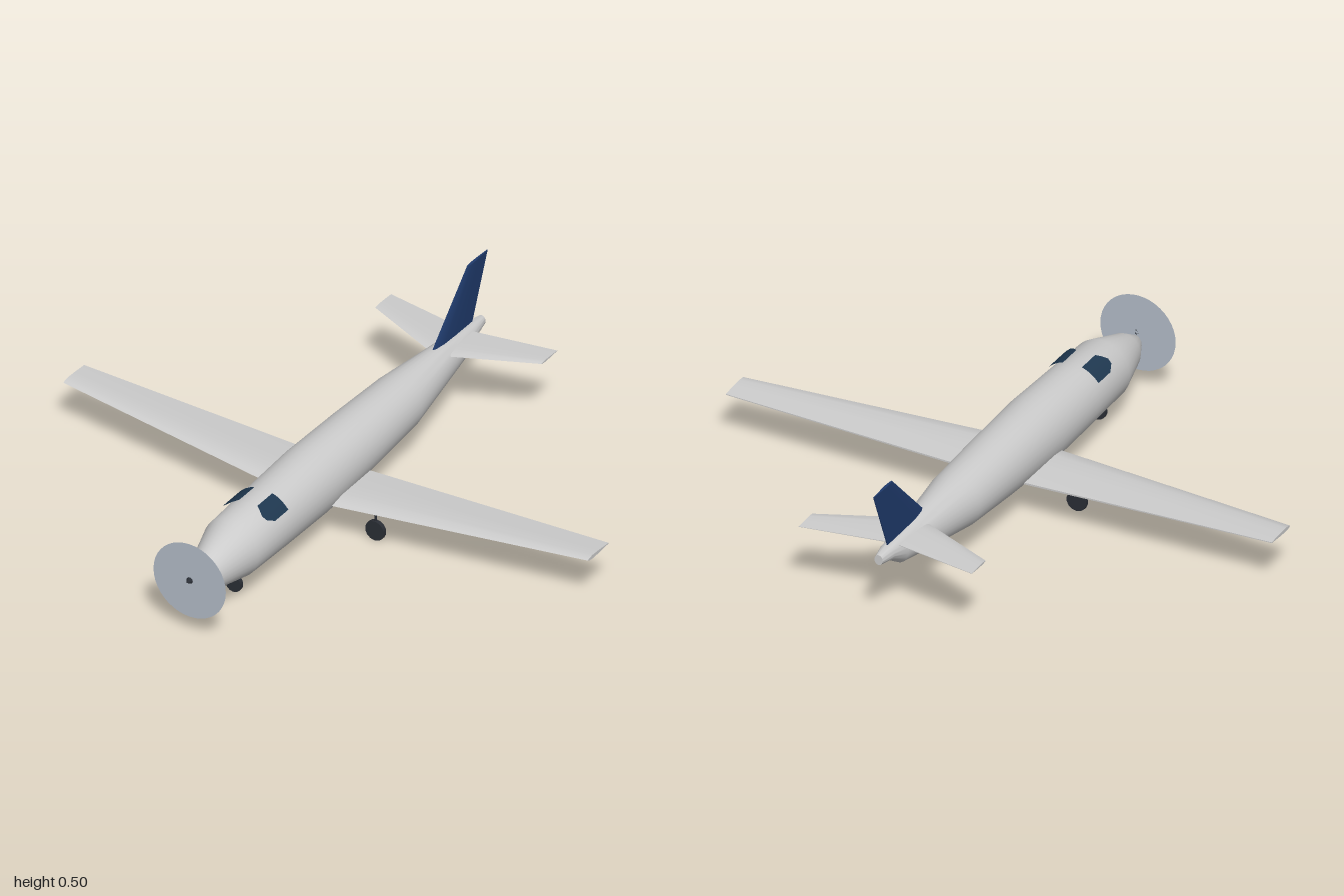
import * as THREE from 'three';
import { toCreasedNormals } from 'three/addons/utils/BufferGeometryUtils.js';

const material = (color, side = THREE.FrontSide) => new THREE.MeshStandardMaterial({ color, side });
const GREY = material(0xcccccc);
const NAVY = material(0x1f3a6b);
const GLASS = material(0x1f3850, THREE.DoubleSide);
const DARK = material(0x2a2e35);
const DISC = material(0xb3bcc8, THREE.DoubleSide);

// Skin a list of equal-sized rings of [x, y, z] points and cap both ends.
function loft(rings, crease) {
  const n = rings[0].length;
  const pos = rings.flat(2);
  const index = [];
  for (let r = 0; r < rings.length - 1; r++) {
    for (let i = 0; i < n; i++) {
      const a = r * n + i, b = r * n + (i + 1) % n;
      index.push(a, b, a + n, b, b + n, a + n);
    }
  }
  const last = (rings.length - 1) * n;
  for (let i = 1; i < n - 1; i++) {
    index.push(0, i + 1, i, last, last + i, last + i + 1);
  }
  // Turn the faces outward if the enclosed volume comes out negative.
  const p = (i) => new THREE.Vector3().fromArray(pos, i * 3);
  let volume = 0;
  for (let i = 0; i < index.length; i += 3) {
    volume += p(index[i]).dot(p(index[i + 1]).cross(p(index[i + 2])));
  }
  if (volume < 0) index.reverse();
  const geo = new THREE.BufferGeometry();
  geo.setAttribute('position', new THREE.Float32BufferAttribute(pos, 3));
  geo.setIndex(index);
  return toCreasedNormals(geo, crease);
}

// Aerofoil outline: [fraction of chord from the leading edge, fraction of thickness]
const FOIL = [[0, 0], [0.06, 0.3], [0.25, 0.5], [0.55, 0.4], [1, 0.1],
  [1, -0.1], [0.55, -0.4], [0.25, -0.5], [0.06, -0.3]];
const foilRing = (lead, trail, thick, place) =>
  FOIL.map(([c, t]) => place(t * thick, lead + (trail - lead) * c));

// Full-span surface from tip to tip; stations are { x, y, lead, trail, thick }.
function span(root, tip) {
  return loft([{ ...tip, x: -tip.x }, root, tip].map((s) =>
    foilRing(s.lead, s.trail, s.thick, (t, z) => [s.x, s.y + t, z])), 0.6);
}

// Fuselage stations: z, centre y, half width, half height
const HULL = [
  [0.885, 0.165, 0.014, 0.018], [0.87, 0.167, 0.024, 0.032], [0.8, 0.175, 0.058, 0.065],
  [0.64, 0.19, 0.104, 0.107], [0.42, 0.193, 0.109, 0.116], [0.18, 0.197, 0.113, 0.123],
  [-0.1, 0.203, 0.106, 0.112], [-0.36, 0.209, 0.095, 0.097], [-0.62, 0.222, 0.056, 0.068],
  [-0.74, 0.229, 0.039, 0.053], [-0.81, 0.249, 0.028, 0.028], [-0.87, 0.25, 0.015, 0.018],
];
function fuselage() {
  const n = 32;
  return loft(HULL.map(([z, y, rx, ry]) => Array.from({ length: n }, (_, i) => {
    const a = (i / n) * Math.PI * 2;
    return [rx * Math.sin(a), y + ry * Math.cos(a), z];
  })), 0.75);
}

// Curved cockpit pane lying just outside the fuselage skin
function pane(side) {
  const geo = new THREE.PlaneGeometry(1, 1, 4, 3);
  const front = [0.535, 0.548, 0.56, 0.555, 0.525];
  const p = geo.attributes.position;
  for (let i = 0; i < p.count; i++) {
    const u = p.getX(i) + 0.5, v = p.getY(i) + 0.5;
    const a = 0.29 + u * 0.63;
    const z = 0.445 + v * (front[Math.round(u * 4)] - 0.445);
    p.setXYZ(i, side * 0.12 * Math.sin(a), 0.19 + 0.12 * Math.cos(a), z);
  }
  geo.computeVertexNormals();
  return geo;
}

export function createModel() {
  const model = new THREE.Group();
  model.name = 'aeroplane';
  const add = (name, geo, mat, parent = model) => {
    const mesh = new THREE.Mesh(geo, mat);
    mesh.name = name;
    parent.add(mesh);
    return mesh;
  };

  add('fuselage', fuselage(), GREY);

  // Flying surfaces
  add('wings', span(
    { x: 0, y: 0.139, lead: 0.205, trail: -0.052, thick: 0.034 },
    { x: 1, y: 0.174, lead: 0.07, trail: -0.055, thick: 0.014 }), GREY);
  add('tailplane', span(
    { x: 0, y: 0.264, lead: -0.59, trail: -0.772, thick: 0.012 },
    { x: 0.317, y: 0.264, lead: -0.73, trail: -0.825, thick: 0.007 }), GREY);
  const finRing = (y, lead, trail, thick) => foilRing(lead, trail, thick, (t, z) => [t, y, z]);
  add('fin', loft([
    finRing(0.25, -0.53, -0.8, 0.02),
    finRing(0.5, -0.78, -0.905, 0.01)], 0.6), NAVY);

  // Cockpit windows
  add('leftWindow', pane(1), GLASS);
  add('rightWindow', pane(-1), GLASS);

  // Spinning propeller disc and its hub
  add('propellerDisc', new THREE.CircleGeometry(0.138, 40), DISC).position.set(0, 0.198, 0.889);
  const hub = add('propellerHub', new THREE.ConeGeometry(0.012, 0.018, 12).rotateX(Math.PI / 2), DARK);
  hub.position.set(0, 0.198, 0.898);

  // Landing gear: thin wheel discs under slim struts
  const gear = (name, x, z, y, r, top) => {
    const group = new THREE.Group();
    group.name = name;
    group.position.set(x, 0, z);
    model.add(group);
    const wheel = new THREE.CylinderGeometry(r, r, 0.015, 14).rotateX(Math.PI / 2);
    add('wheel', toCreasedNormals(wheel, 0.6), DARK, group).position.y = y;
    add('strut', new THREE.CylinderGeometry(0.004, 0.004, top - y, 8), DARK, group).position.y = (top + y) / 2;
  };
  gear('noseGear', 0, 0.62, 0.045, 0.03, 0.11);
  gear('leftGear', 0.207, 0.095, 0.036, 0.036, 0.145);
  gear('rightGear', -0.207, 0.095, 0.036, 0.036, 0.145);

  return model;
}
